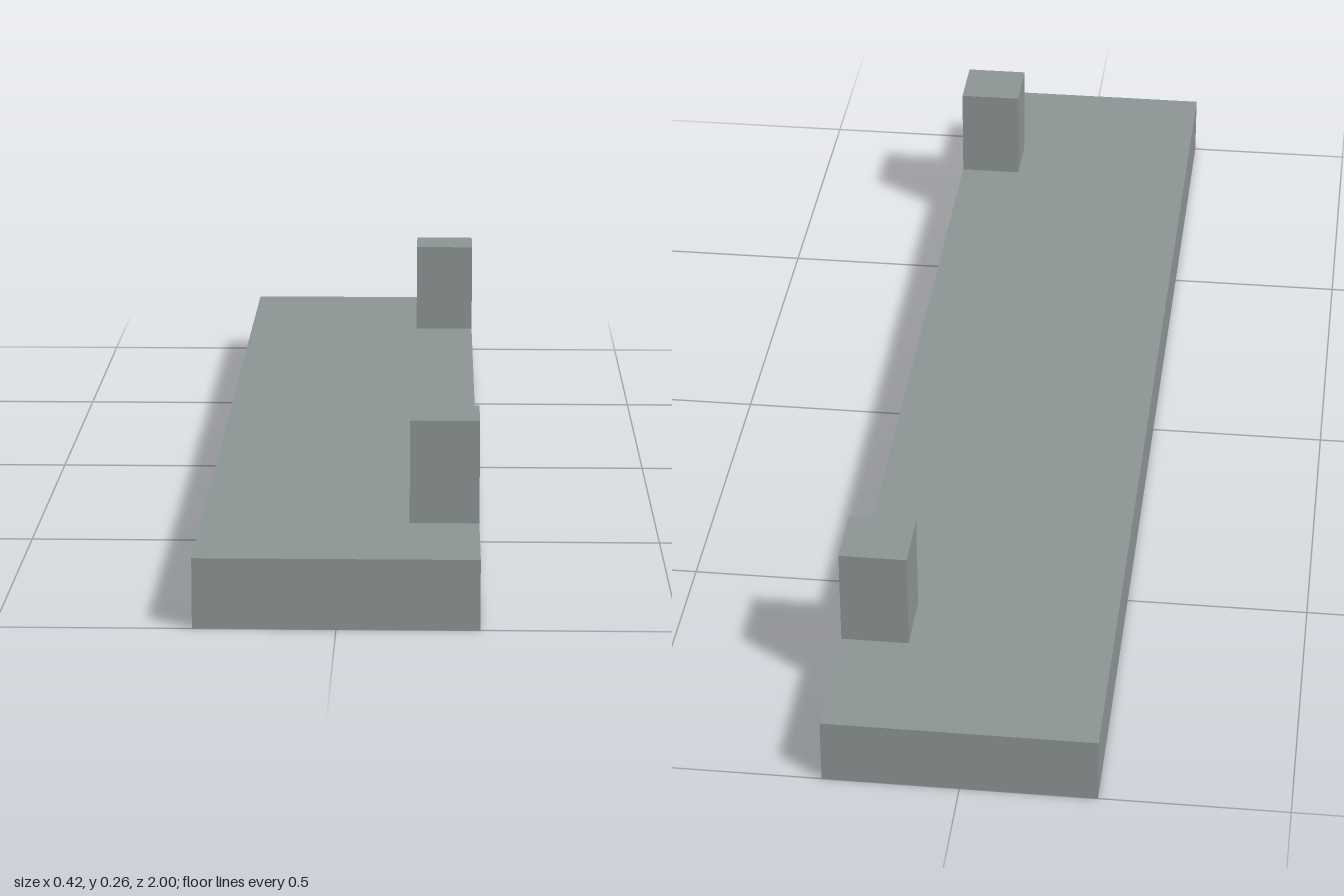
import * as THREE from 'three';

export function createModel() {
  const model = new THREE.Group();
  const grey = new THREE.MeshStandardMaterial({ color: 0x8c9393 });
  grey.name = 'grey';

  const addBox = (name, size, position) => {
    const mesh = new THREE.Mesh(new THREE.BoxGeometry(...size), grey);
    mesh.name = name;
    mesh.position.set(...position);
    model.add(mesh);
  };

  const plankHeight = 0.106, halfWidth = 0.21;
  const postSize = 0.105, postHeight = 0.158;

  // Long flat plank
  addBox('plank', [halfWidth * 2, plankHeight, 2], [0, plankHeight / 2, 0]);

  // Two square posts, flush with the left edge
  for (const [name, side] of [['frontPost', 1], ['backPost', -1]]) {
    addBox(name, [postSize, postHeight, postSize],
      [halfWidth - postSize / 2, plankHeight + postHeight / 2, side * 0.737]);
  }

  return model;
}
